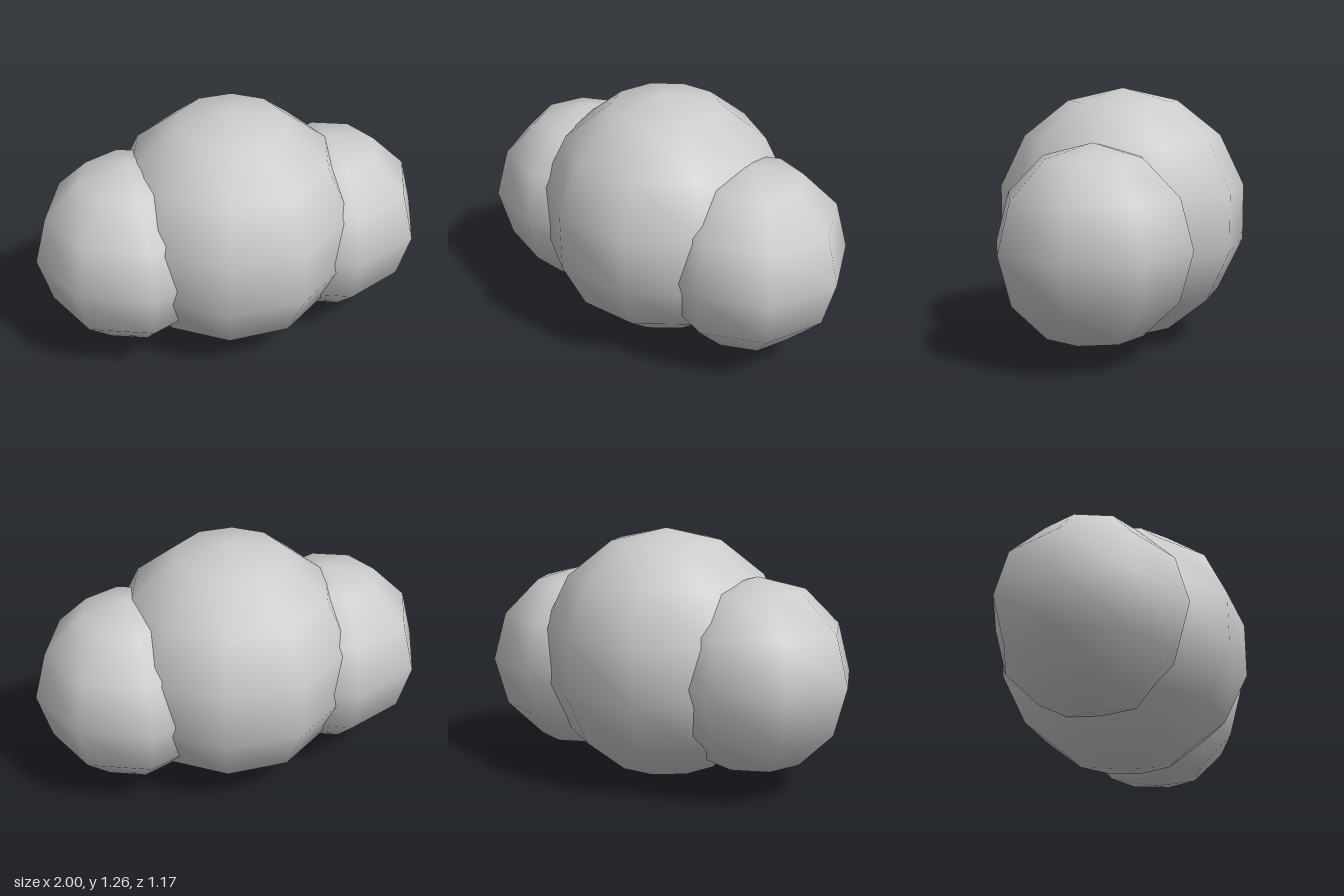
import * as THREE from 'three';

export function createModel() {
  const group = new THREE.Group();
  const material = new THREE.MeshStandardMaterial({ color: 0xcccccc });

  // One smooth-shaded low-poly lobe
  const addLobe = (name, radius, x, y, sides, rings) => {
    const lobe = new THREE.Mesh(new THREE.SphereGeometry(radius, sides, rings), material);
    lobe.name = name;
    lobe.position.set(x, y, 0);
    group.add(lobe);
  };

  // Large middle lobe, with a smaller one sunk into each side
  addLobe('centerLobe', 0.632, 0, 0.632, 10, 7);
  addLobe('leftLobe', 0.482, 0.518, 0.553, 8, 6);
  addLobe('rightLobe', 0.482, -0.518, 0.578, 8, 6);

  return group;
}
